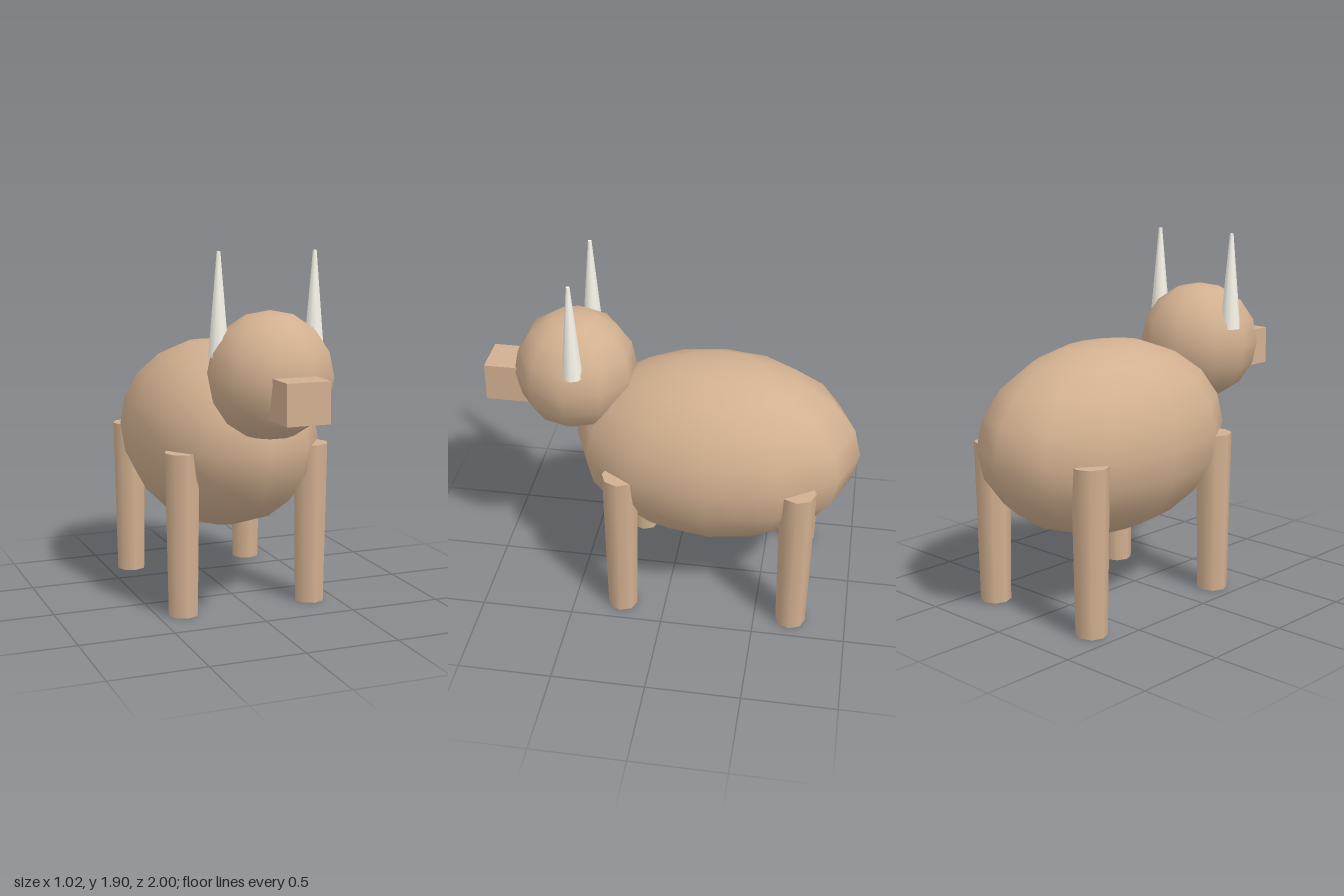
import * as THREE from 'three';

export function createModel() {
  const model = new THREE.Group();
  const hide = new THREE.MeshStandardMaterial({ color: 0xd2b090 });
  const ivory = new THREE.MeshStandardMaterial({ color: 0xf8f6ea });

  function add(name, geometry, material, x, y, z) {
    const mesh = new THREE.Mesh(geometry, material);
    mesh.name = name;
    mesh.position.set(x, y, z);
    model.add(mesh);
    return mesh;
  }

  // Egg-shaped body, long in z
  const body = add('body', new THREE.SphereGeometry(0.51, 12, 10), hide, 0, 0.88, -0.23);
  body.scale.z = 0.77 / 0.51;

  // Head and square snout
  add('head', new THREE.SphereGeometry(0.325, 10, 8), hide, 0, 1.29, 0.53);
  add('snout', new THREE.BoxGeometry(0.225, 0.205, 0.225), hide, 0, 1.217, 0.8875);

  // Mirrored legs and horns
  const legGeometry = new THREE.CylinderGeometry(0.095, 0.081, 0.87, 8);
  const hornGeometry = new THREE.CylinderGeometry(0.01, 0.055, 0.515, 8);
  for (const [side, s] of [['left', 1], ['right', -1]]) {
    add(side + 'FrontLeg', legGeometry, hide, s * 0.362, 0.435, 0.235);
    add(side + 'BackLeg', legGeometry, hide, s * 0.362, 0.435, -0.7);
    add(side + 'Horn', hornGeometry, ivory, s * 0.257, 1.6475, 0.488);
  }

  return model;
}
